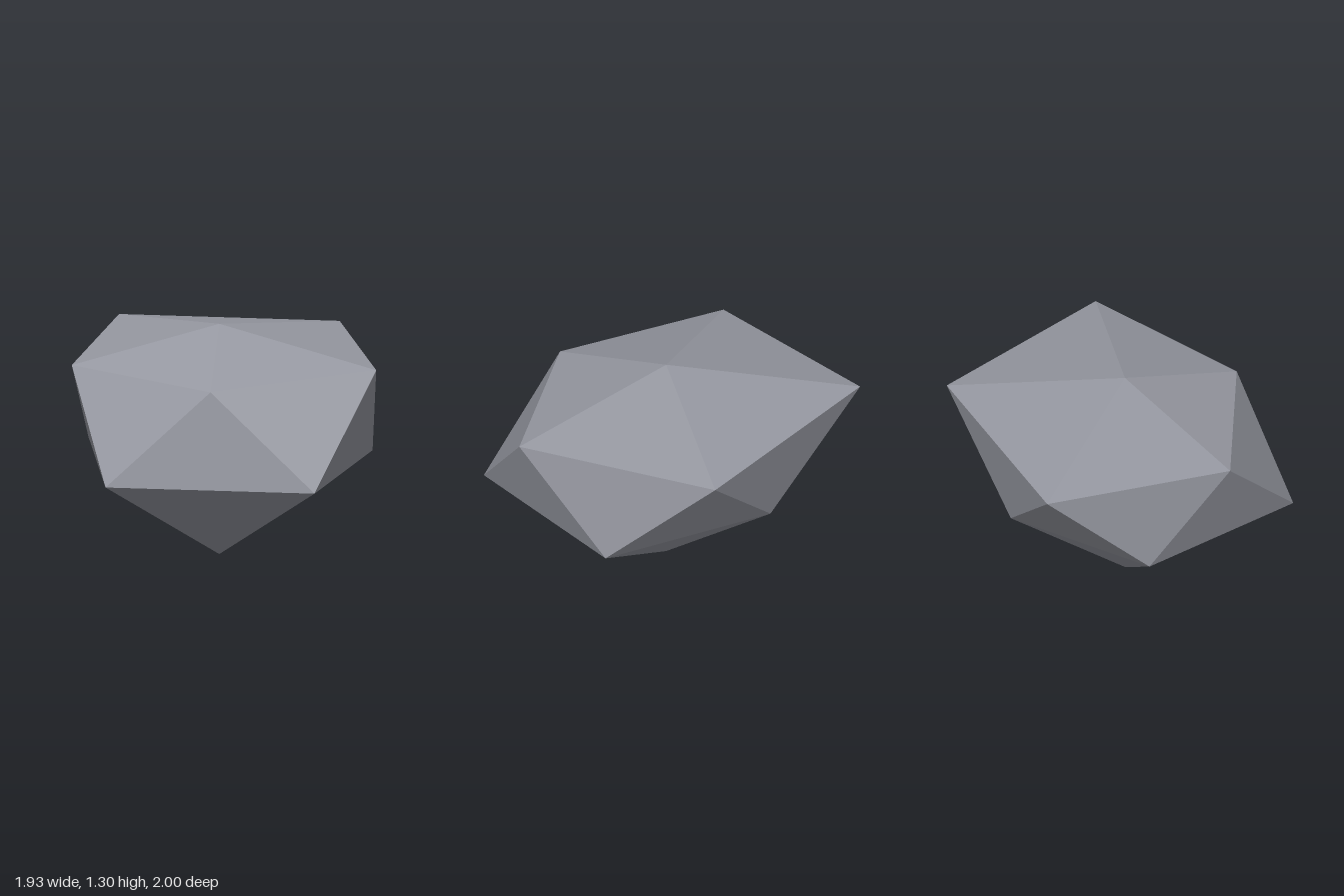
import * as THREE from 'three';

// A rough stone: two staggered rings of five corners, capped by a top and a bottom point
export function createModel() {
  const top = [-0.03, 1.305, 0.03];
  const bottom = [-0.03, 0, 0.03];
  const upper = [
    [0.965, 1.165, 0.03], [0.245, 1.13, 0.955], [-0.6, 1.07, 0.48],
    [-0.68, 1.1, -0.485], [0.28, 1.165, -1],
  ];
  const lower = [
    [0.64, 0.56, 0.57], [-0.315, 0.525, 1], [-0.97, 0.525, 0.03],
    [-0.26, 0.59, -0.74], [0.555, 0.605, -0.405],
  ];

  // Four triangles per sector: crown, two side facets, base
  const corners = [];
  for (let i = 0; i < 5; i++) {
    const j = (i + 1) % 5;
    corners.push(
      top, upper[j], upper[i],
      upper[i], upper[j], lower[i],
      lower[i], upper[j], lower[j],
      bottom, lower[i], lower[j],
    );
  }
  const geometry = new THREE.BufferGeometry();
  geometry.setAttribute('position', new THREE.Float32BufferAttribute(corners.flat(), 3));
  geometry.computeVertexNormals(); // unshared corners give flat facets

  const stoneGrey = new THREE.MeshStandardMaterial({ color: 0x9698a1 });
  stoneGrey.name = 'stoneGrey';
  stoneGrey.flatShading = true;

  const stone = new THREE.Mesh(geometry, stoneGrey);
  stone.name = 'stone';
  const group = new THREE.Group();
  group.name = 'rock';
  group.add(stone);
  return group;
}
